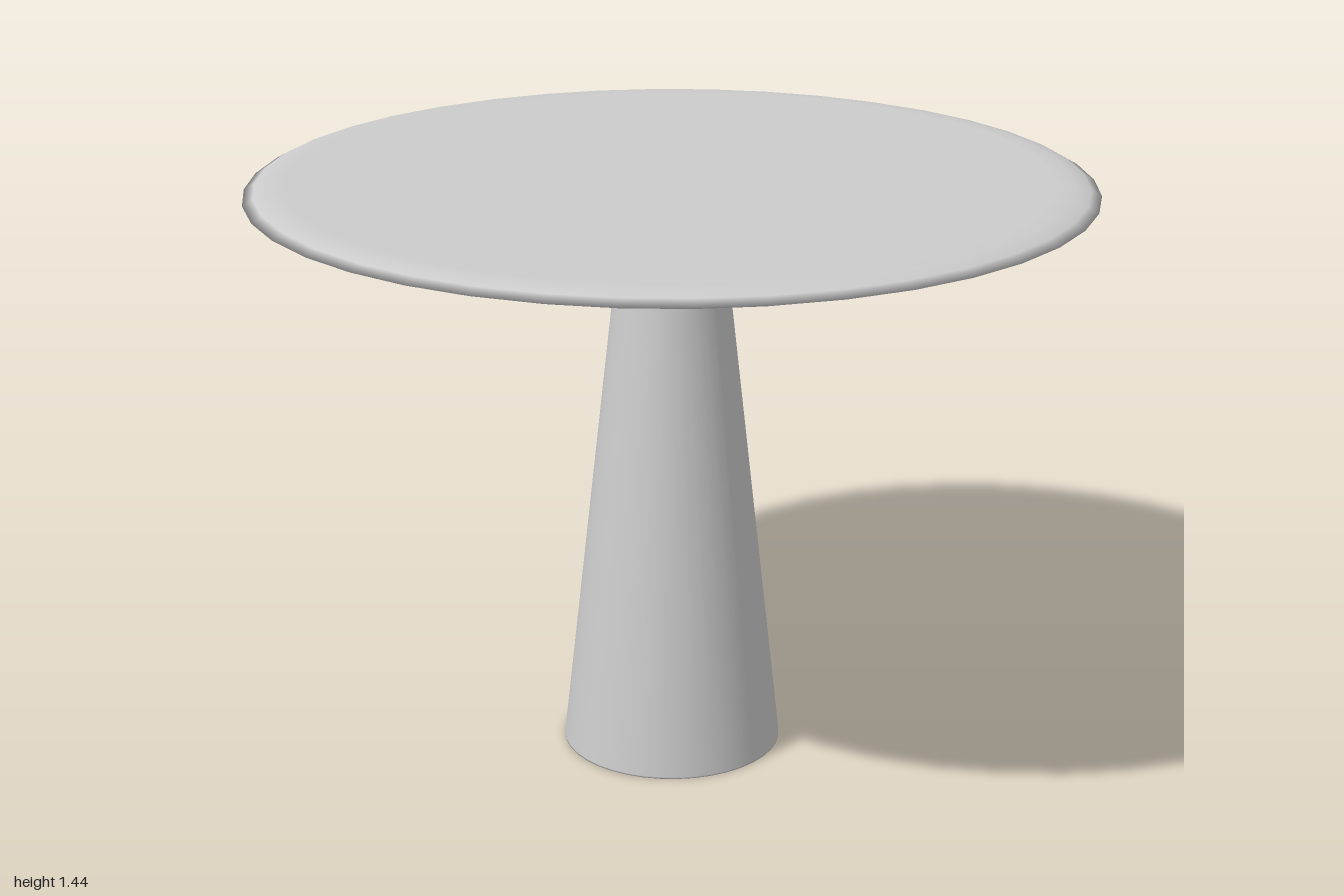
import * as THREE from 'three';

const SEGMENTS = 40;

// Revolve a profile of [radius, height] pairs, listed from bottom to top
function lathe(name, profile, material) {
  const points = profile.map(([r, y]) => new THREE.Vector2(r, y));
  const mesh = new THREE.Mesh(new THREE.LatheGeometry(points, SEGMENTS), material);
  mesh.name = name;
  return mesh;
}

export function createModel() {
  const group = new THREE.Group();
  group.name = 'pedestalTable';
  const material = new THREE.MeshStandardMaterial({ color: 0xcccccc });

  // Tapered column with a closed foot
  group.add(lathe('pedestal', [
    [0, 0], [0.27, 0], [0.27, 0.004], [0.12, 1.34],
  ], material));

  // Thin round top: shallow conical underside, knife edge, flat upper face
  group.add(lathe('tableTop', [
    [0, 1.335], [0.12, 1.335], [0.9, 1.395], [0.95, 1.404], [1, 1.42],
    [0.975, 1.434], [0.94, 1.443], [0.9, 1.444], [0, 1.444],
  ], material));

  return group;
}
